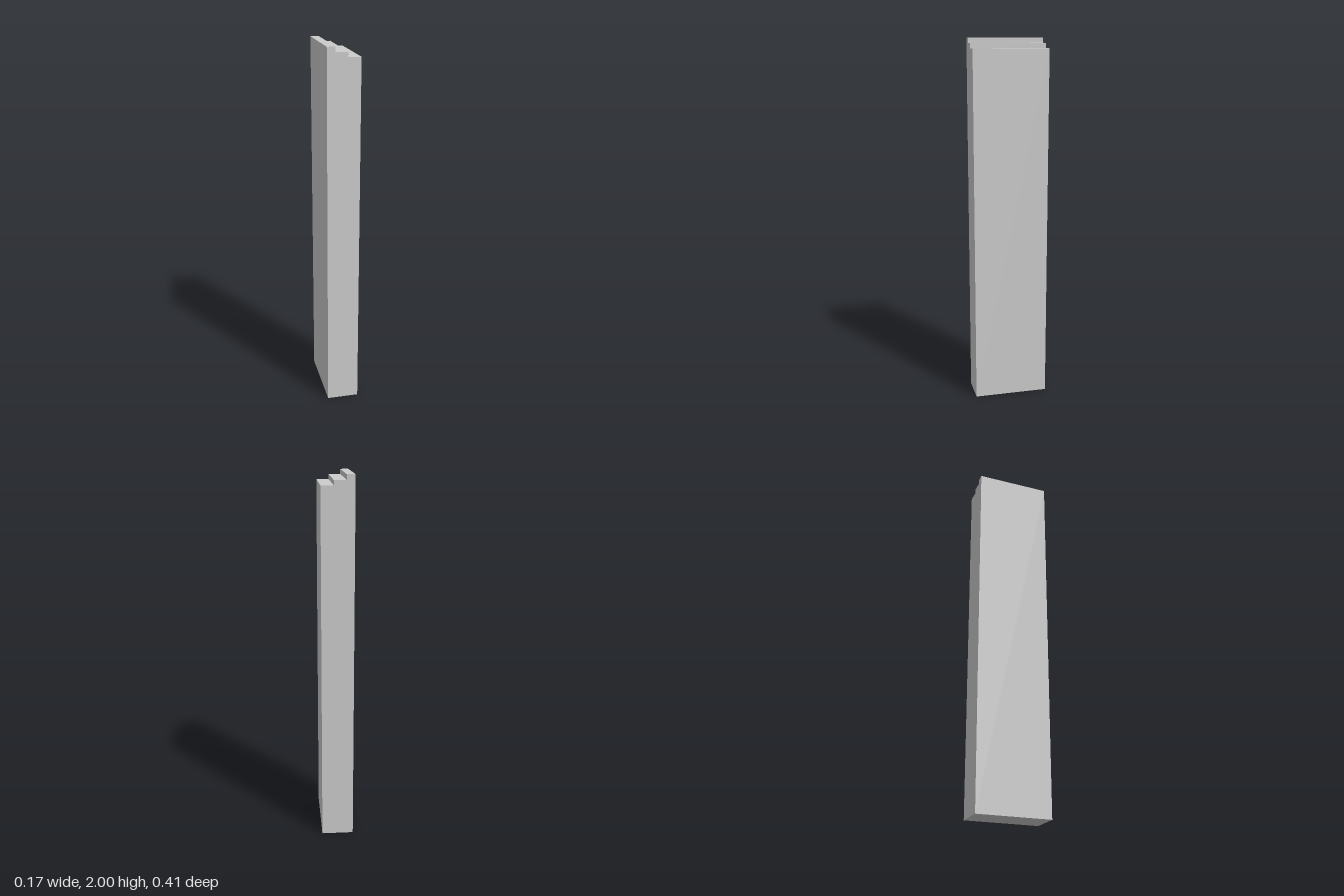
import * as THREE from 'three';

export function createModel() {
  const group = new THREE.Group();
  group.name = 'steppedSlab';
  const depth = 0.408;

  // Stepped end profile, highest on the -x side
  const profile = new THREE.Shape([
    [-0.087, 0], [0.087, 0],
    [0.087, 1.947], [0.021, 1.947],
    [0.021, 1.973], [-0.043, 1.973],
    [-0.043, 2], [-0.087, 2],
  ].map(([x, y]) => new THREE.Vector2(x, y)));

  // Solid slab running front to back
  const geometry = new THREE.ExtrudeGeometry(profile, { depth, bevelEnabled: false });
  geometry.translate(0, 0, -depth / 2);
  const slab = new THREE.Mesh(
    geometry,
    new THREE.MeshStandardMaterial({ color: 0xcccccc, flatShading: true })
  );
  slab.name = 'slab';
  group.add(slab);
  return group;
}
